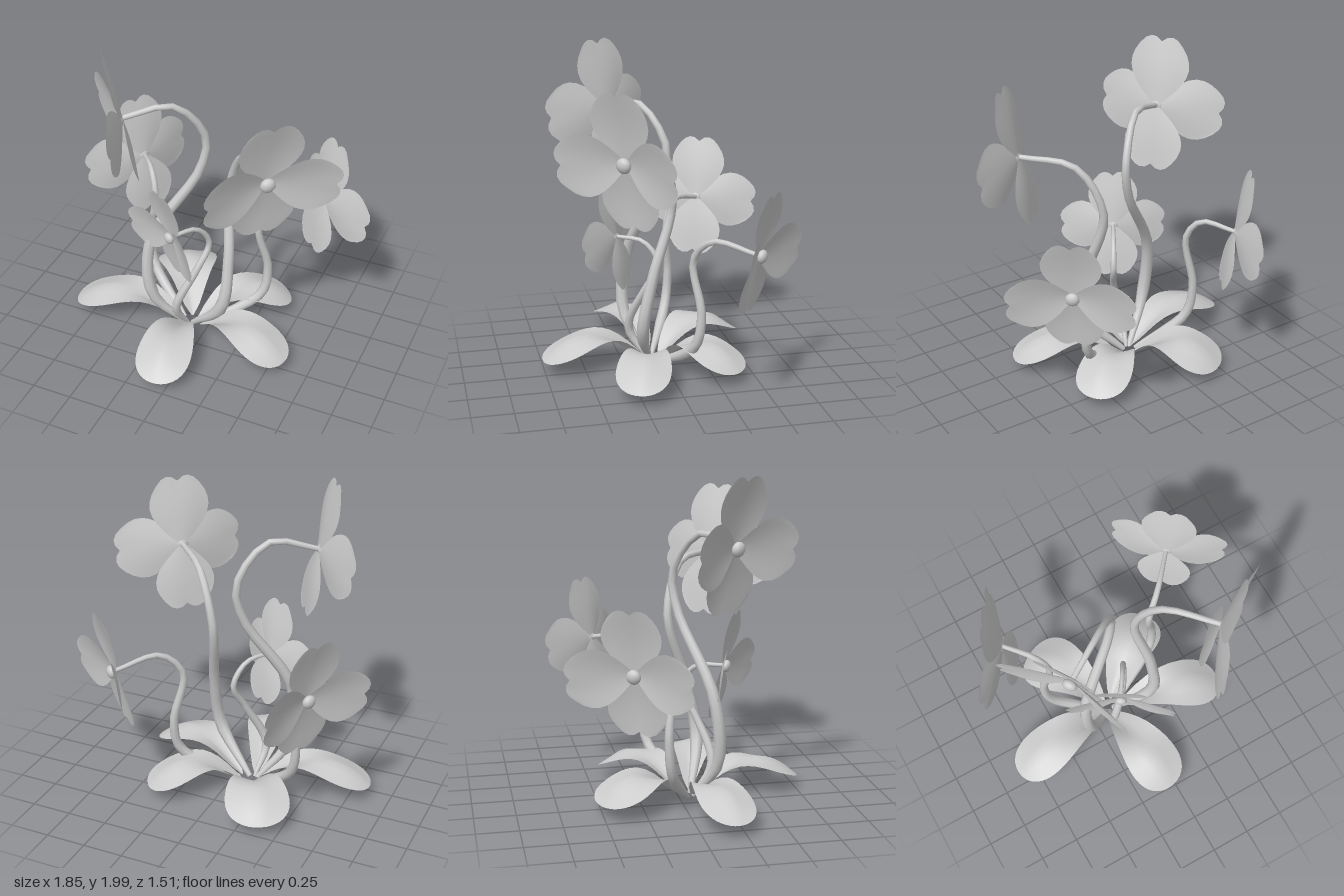
import * as THREE from 'three';

const material = new THREE.MeshStandardMaterial({ color: 0xcccccc, side: THREE.DoubleSide });

// Smooth sheet from a rule: u runs -1..1 across, v runs 0..1 along
function sheet(nu, nv, rule) {
  const g = new THREE.PlaneGeometry(2, 1, nu, nv);
  const p = g.attributes.position;
  for (let i = 0; i < p.count; i++) p.setXYZ(i, ...rule(p.getX(i), p.getY(i) + 0.5));
  g.computeVertexNormals();
  return g;
}

function add(parent, geometry, name) {
  const mesh = new THREE.Mesh(geometry, material);
  mesh.name = name;
  parent.add(mesh);
  return mesh;
}

// Heart-shaped petal, growing along +y and facing +z
function petalGeometry(length) {
  return sheet(8, 8, (u, v) => {
    const a = Math.abs(u);
    return [
      u * (0.015 + 0.172 * Math.sin(2.35 * v)),
      v * length * (0.92 + 0.33 * a - 0.38 * a * a),
      0.02 * Math.sin(Math.PI * v) * (u * u - 0.5),
    ];
  });
}

// Top, left, bottom and right petals: forward tilt, turn about the centre, length
const petals = [
  [0.08, 0, 0.42],
  [0.28, Math.PI / 2 + 0.04, 0.42],
  [-0.03, Math.PI, 0.4],
  [0.28, -Math.PI / 2 - 0.04, 0.42],
];

// Flower: four petals around a round centre, nodding a little
function makeFlower(position, heading, scale) {
  const flower = new THREE.Group();
  flower.name = 'flower';
  for (const [tilt, turn, length] of petals) {
    add(flower, petalGeometry(length).rotateX(tilt).rotateZ(turn), 'petal');
  }
  const centre = add(flower, new THREE.SphereGeometry(0.045, 12, 8), 'flowerCentre');
  centre.scale.z = 0.7;
  centre.position.z = 0.025;
  flower.position.copy(position);
  flower.rotation.order = 'YXZ';
  flower.rotation.set(0.16, THREE.MathUtils.degToRad(heading), 0);
  flower.scale.setScalar(scale);
  return flower;
}

// Stem: tube along a curve, thin at the foot and tapering to the flower
function makeStem(curve, radius) {
  const rings = 22, sides = 8;
  const g = new THREE.TubeGeometry(curve, rings, radius, sides);
  const p = g.attributes.position, v = new THREE.Vector3();
  for (let i = 0; i < p.count; i++) {
    const t = Math.floor(i / (sides + 1)) / rings;
    const c = curve.getPointAt(t);
    v.fromBufferAttribute(p, i).sub(c).multiplyScalar(Math.min(0.4 + 3 * t, 1.1 - 0.7 * t)).add(c);
    p.setXYZ(i, v.x, v.y, v.z);
  }
  return g;
}

// Stalk: a stem through the given points with a flower at its end
function addStalk(model, radius, heading, scale, ...points) {
  const path = points.map((p) => new THREE.Vector3(...p));
  add(model, makeStem(new THREE.CatmullRomCurve3(path), radius), 'stem');
  model.add(makeFlower(path[path.length - 1], heading, scale));
}

// Leaf: arched blade with a rounded tip, a trough near the foot and a dome further out
function addLeaf(model, x0, z0, x1, z1, halfWidth) {
  const length = Math.hypot(x1 - x0, z1 - z0);
  const dx = (x1 - x0) / length, dz = (z1 - z0) / length;
  const blade = sheet(6, 20, (u, s) => {
    const v = Math.sin(s * Math.PI / 2);
    const side = u * halfWidth * (0.03 + 1.5 * v ** 0.75 * Math.sqrt(1 - v ** 4));
    const fold = 0.05 * Math.abs(u) * Math.sin(2 * Math.PI * v);
    return [
      x0 + dx * v * length + dz * side,
      0.02 + 0.2 * Math.sin(2.8 * v ** 1.2) + fold,
      z0 + dz * v * length - dx * side,
    ];
  });
  add(model, blade, 'leaf');
}

export function createModel() {
  const model = new THREE.Group();
  model.name = 'floweringPlant';

  // Two tall stalks
  addStalk(model, 0.042, -57, 1.02, [-0.15, 0.02, 0.09], [-0.32, 0.27, 0.2], [-0.34, 0.68, 0.17],
    [-0.08, 1.17, 0], [-0.05, 1.4, -0.02], [-0.2, 1.64, 0.11], [-0.45, 1.585, 0.26]);
  addStalk(model, 0.042, 44, 1.03, [-0.1, 0.02, 0.08], [0.14, 0.3, 0.17], [0.16, 0.65, 0.11],
    [0.11, 1.1, -0.02], [0.24, 1.4, 0.08], [0.475, 1.435, 0.33]);

  // Two shorter stalks leaning back
  addStalk(model, 0.035, 139, 0.93, [-0.04, 0.02, 0.05], [0.29, 0.24, -0.12], [0.32, 0.45, -0.15],
    [0.27, 0.78, -0.11], [0.38, 0.92, -0.2], [0.57, 0.88, -0.42]);
  addStalk(model, 0.035, -120, 0.95, [-0.17, 0.02, 0.05], [-0.45, 0.25, -0.1], [-0.49, 0.47, -0.13],
    [-0.44, 0.83, -0.11], [-0.5, 0.95, -0.18], [-0.63, 0.92, -0.35]);

  // Small stalk in front
  addStalk(model, 0.03, -31, 0.83, [-0.13, 0.02, 0.09], [-0.16, 0.22, 0.2], [-0.05, 0.5, 0.12],
    [0, 0.67, 0.04], [-0.05, 0.81, 0.12], [-0.145, 0.83, 0.27]);

  // Rosette of five leaves
  addLeaf(model, -0.14, 0.08, -0.87, 0.2, 0.155);
  addLeaf(model, -0.13, 0.02, -0.42, -0.51, 0.19);
  addLeaf(model, -0.09, 0.02, 0.4, -0.37, 0.165);
  addLeaf(model, -0.05, 0.08, 0.6, 0.28, 0.16);
  addLeaf(model, -0.14, 0.09, -0.04, 0.76, 0.165);
  return model;
}
